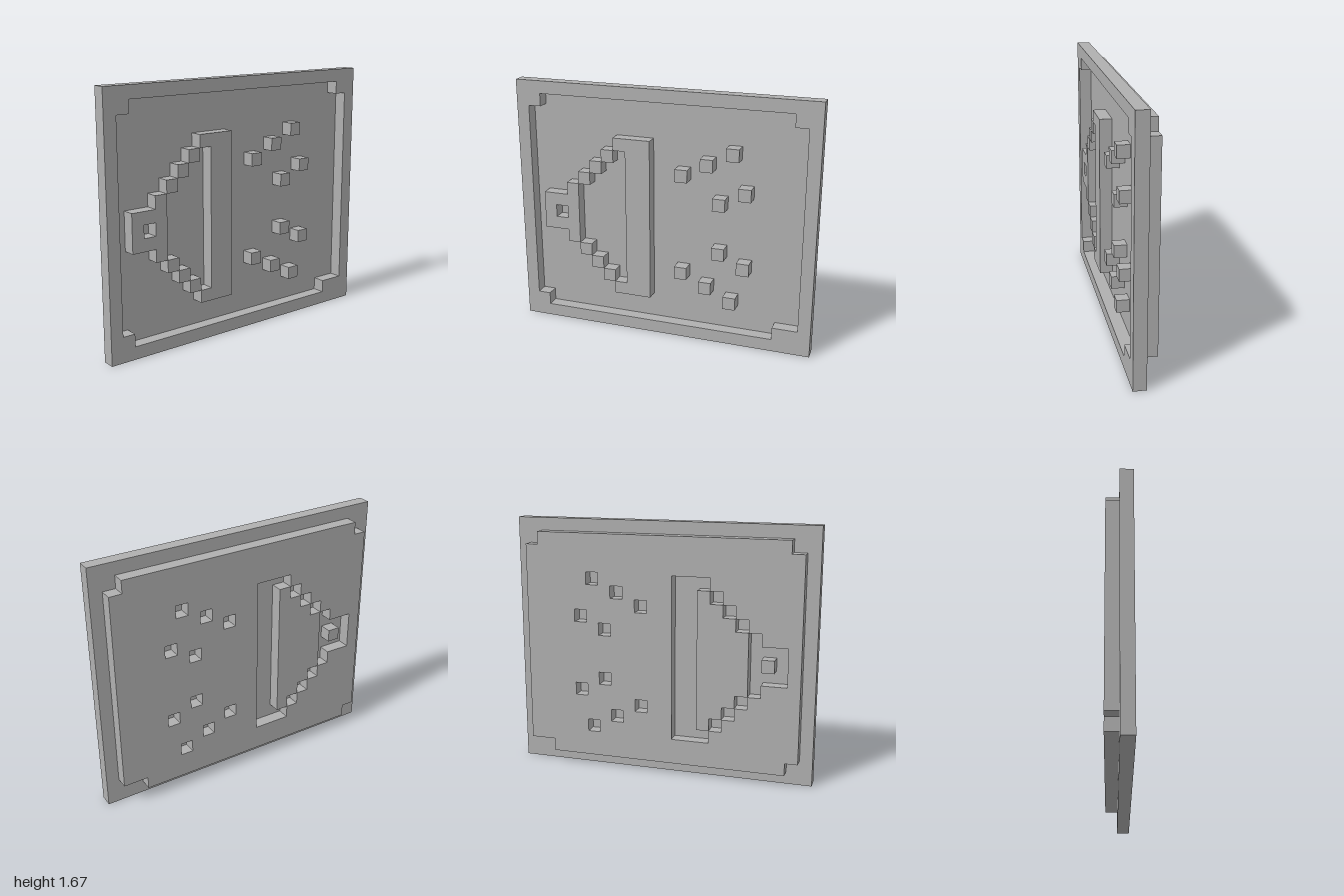
import * as THREE from 'three';

const U = 1 / 12; // one grid cell; the board is 24 x 20 cells, each layer one cell deep

export function createModel() {
  const group = new THREE.Group();
  const grey = new THREE.MeshStandardMaterial({ color: 0xb0b0b0 });
  grey.name = 'grey';

  const vectors = pts => pts.map(([x, y]) => new THREE.Vector2(x * U, y * U));
  const rect = (x0, y0, x1, y1) => [[x0, y0], [x1, y0], [x1, y1], [x0, y1]];
  const cell = (x, y) => rect(x, y, x + 1, y + 1);
  // Close a lower half outline with its reflection about y = 9.5
  const mirrored = pts => [...pts, ...pts.map(([x, y]) => [x, 19 - y]).reverse()];

  // Extrude an outline one cell deep, from z0 forwards
  function slab(name, outline, z0, holes = []) {
    const shape = new THREE.Shape(vectors(outline));
    for (const h of holes) shape.holes.push(new THREE.Path(vectors(h)));
    const geometry = new THREE.ExtrudeGeometry(shape, { depth: U, bevelEnabled: false });
    const mesh = new THREE.Mesh(geometry, grey);
    mesh.name = name;
    mesh.position.z = z0;
    group.add(mesh);
  }

  // Outlines
  const panelEdge = [
    [-10, 1], [9, 1], [9, 2], [11, 2], [11, 18], [10, 18],
    [10, 19], [-10, 19], [-10, 18], [-11, 18], [-11, 2], [-10, 2],
  ];
  const hornEdge = mirrored([
    [-10, 8], [-8, 8], [-8, 7], [-7, 7], [-7, 6], [-6, 6], [-6, 5],
    [-5, 5], [-5, 4], [-4, 4], [-4, 3], [-1, 3],
  ]);
  const hornInside = mirrored([
    [-7, 7], [-6, 7], [-6, 6], [-5, 6], [-5, 5], [-4, 5], [-4, 4], [-3, 4],
  ]);
  const handleEdge = mirrored([[-10, 8], [-8, 8], [-8, 7], [-7, 7]]);
  const barEdge = [
    [-4, 3], [-1, 3], [-1, 16], [-4, 16], [-4, 15], [-3, 15], [-3, 4], [-4, 4],
  ];
  const handleHole = cell(-9, 9);
  const bothHalves = cells => cells.flatMap(([x, y]) => [cell(x, y), cell(x, 18 - y)]);
  const dots = bothHalves([[1, 5], [3, 4], [5, 3], [4, 7], [6, 6]]);
  const steps = bothHalves([[-7, 6], [-6, 5], [-5, 4]]);

  // Front layer: frame and raised relief
  slab('frame', rect(-12, 0, 12, 20), 0, [panelEdge]);
  slab('hornHandle', handleEdge, 0, [handleHole]);
  slab('hornBar', barEdge, 0);
  steps.forEach(s => slab('hornStep', s, 0));
  dots.forEach(d => slab('dot', d, 0));

  // Back layer: panel with the relief cut out of it
  slab('panel', panelEdge, -U, [hornEdge, ...dots]);
  slab('hornInnerPanel', hornInside, -U);
  slab('handlePeg', handleHole, -U);

  return group;
}
